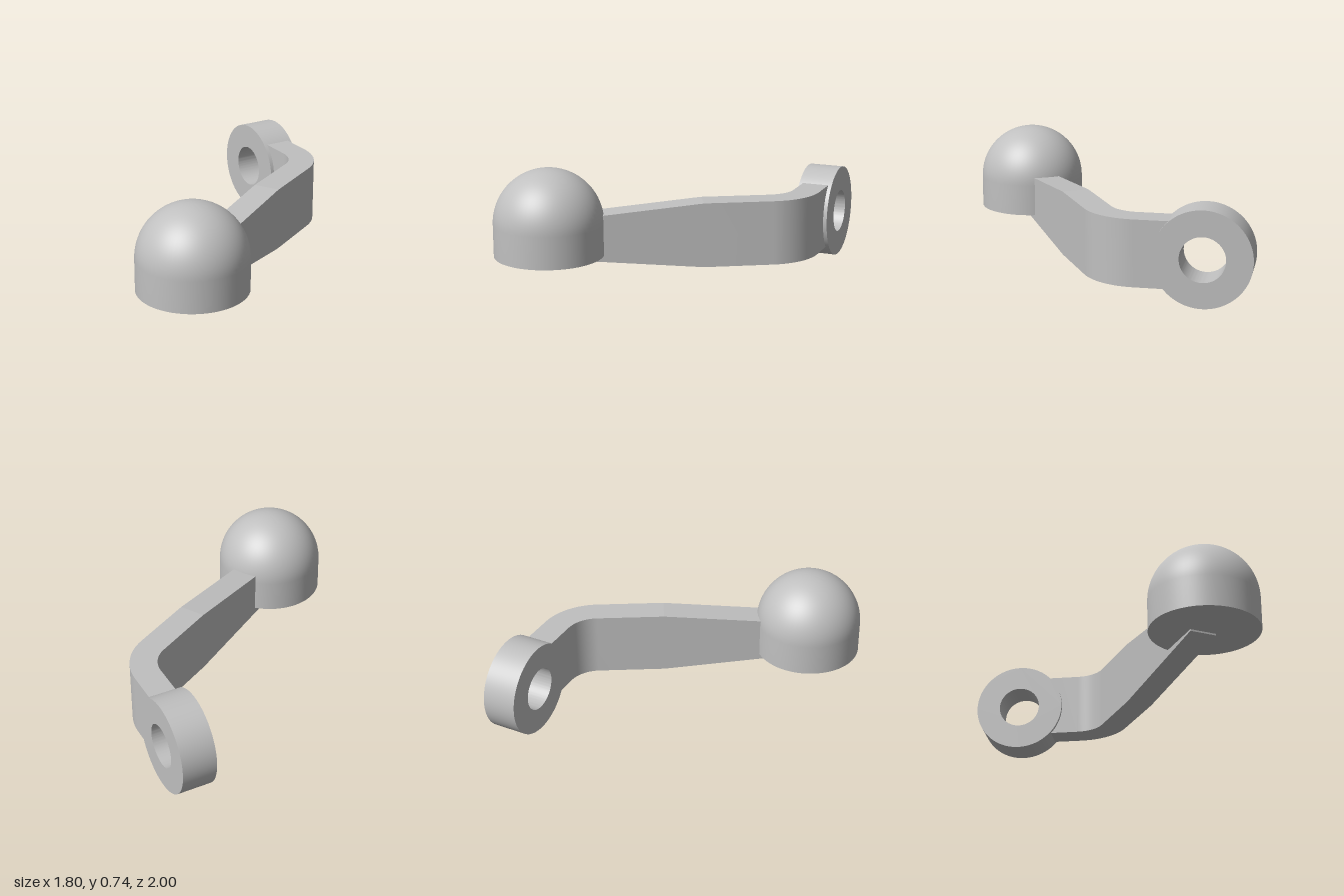
import * as THREE from 'three';
import { toCreasedNormals } from 'three/addons/utils/BufferGeometryUtils.js';

const CREASE = 0.5;

// Domed knob: short cylinder with a hemisphere on top
function knobGeometry(r, bottom, shoulder) {
  const profile = [new THREE.Vector2(0, bottom), new THREE.Vector2(r, bottom)];
  for (let i = 0; i <= 24; i++) {
    const a = (i / 24) * Math.PI / 2;
    profile.push(new THREE.Vector2(i === 24 ? 0 : r * Math.cos(a), shoulder + r * Math.sin(a)));
  }
  return toCreasedNormals(new THREE.LatheGeometry(profile, 64), CREASE);
}

// Ring with a round bore, its axis along x
function ringGeometry(outer, inner, width) {
  const shape = new THREE.Shape().absarc(0, 0, outer, 0, Math.PI * 2);
  shape.holes.push(new THREE.Path().absarc(0, 0, inner, 0, Math.PI * 2, true));
  const geo = new THREE.ExtrudeGeometry(shape, { depth: width, bevelEnabled: false, curveSegments: 64 });
  geo.translate(0, 0, -width / 2).rotateY(Math.PI / 2);
  return toCreasedNormals(geo, CREASE);
}

// Bent, tapering bar lofted from rectangular sections
function armGeometry() {
  const half = 0.085, R = 0.295, cx = 0.495, cz = -0.3, turn = Math.PI / 3;
  const positions = [], index = [];
  let count = 0;
  const section = (x, z, a, bottom, top) => {
    const nx = Math.cos(a) * half, nz = Math.sin(a) * half;
    positions.push(x + nx, bottom, z + nz, x + nx, top, z + nz,
      x - nx, top, z - nz, x - nx, bottom, z - nz);
    count++;
  };
  section(cx + R, -0.52, 0, 0.1, 0.51);
  for (let i = 0; i <= 16; i++) {
    const a = (turn * i) / 16;
    section(cx + R * Math.cos(a), cz + R * Math.sin(a), a, 0.1, 0.51);
  }
  section(0.265, 0.173, turn, 0.1, 0.51);
  section(-0.555, 0.647, turn, 0.187, 0.423);

  for (let i = 0; i < count - 1; i++) {
    for (let j = 0; j < 4; j++) {
      const a = i * 4 + j, b = i * 4 + (j + 1) % 4;
      index.push(a, b, b + 4, a, b + 4, a + 4);
    }
  }
  const e = (count - 1) * 4;
  index.push(0, 3, 2, 0, 2, 1, e, e + 1, e + 2, e, e + 2, e + 3);

  const geo = new THREE.BufferGeometry();
  geo.setAttribute('position', new THREE.Float32BufferAttribute(positions, 3));
  geo.setIndex(index);
  // the low crease angle keeps the taper edge crisp
  return toCreasedNormals(geo, 0.09);
}

export function createModel() {
  const group = new THREE.Group();
  group.name = 'crankHandle';
  const grey = new THREE.MeshStandardMaterial({ color: 0xc0c0c0 });
  grey.name = 'grey';

  const add = (name, geometry, x = 0, y = 0, z = 0) => {
    const mesh = new THREE.Mesh(geometry, grey);
    mesh.name = name;
    mesh.position.set(x, y, z);
    group.add(mesh);
  };
  add('knob', knobGeometry(0.341, 0.198, 0.4), -0.56, 0, 0.657);
  add('arm', armGeometry());
  add('mountingRing', ringGeometry(0.295, 0.137, 0.218), 0.79, 0.295, -0.705);
  return group;
}
